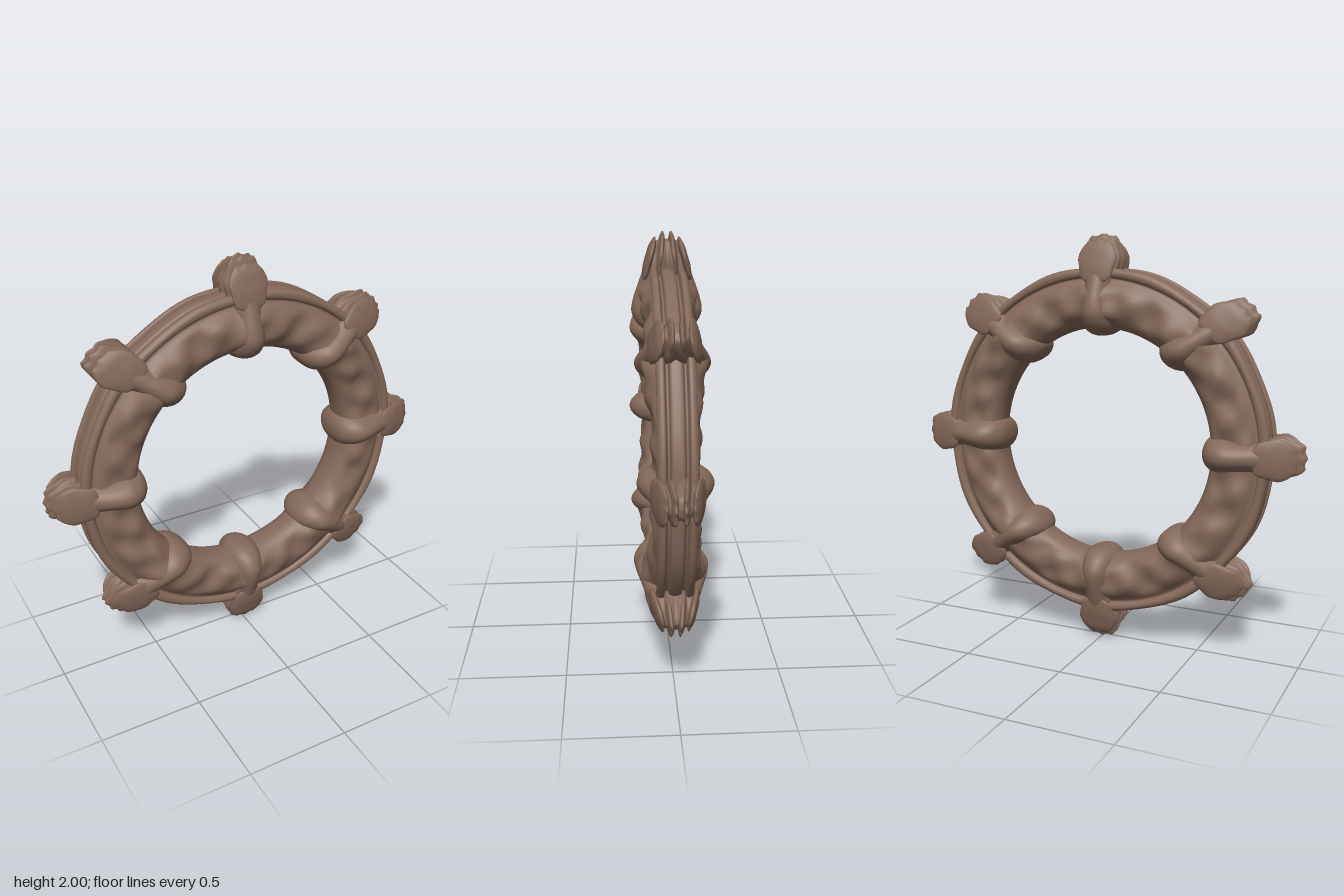
import * as THREE from 'three';

// Grid surface closed around v, optionally closed along u
function surface(nu, nv, closedU, point) {
  const pos = [], idx = [];
  for (let i = 0; i < nu; i++)
    for (let j = 0; j < nv; j++) {
      const u = closedU ? i / nu : i / (nu - 1);
      pos.push(...point(u, j / nv));
    }
  const rows = closedU ? nu : nu - 1;
  for (let i = 0; i < rows; i++)
    for (let j = 0; j < nv; j++) {
      const i2 = (i + 1) % nu, j2 = (j + 1) % nv;
      const a = i * nv + j, b = i * nv + j2, c = i2 * nv + j, d = i2 * nv + j2;
      idx.push(a, b, c, c, b, d);
    }
  const g = new THREE.BufferGeometry();
  g.setAttribute('position', new THREE.Float32BufferAttribute(pos, 3));
  g.setIndex(idx);
  g.computeVertexNormals();
  return g;
}

// Radial loft: each section is [radius, half width, half depth]
function loft(sections, nu, nv, shape) {
  const curve = new THREE.CatmullRomCurve3(sections.map(s => new THREE.Vector3(...s)), false, 'centripetal');
  return surface(nu, nv, false, (u, v) => {
    const s = curve.getPoint(u), a = v * Math.PI * 2;
    const w = Math.max(s.y, 0.001), d = Math.max(s.z, 0.001);
    return shape(s.x, w * Math.cos(a), d * Math.sin(a));
  });
}

const gauss = (x, s) => Math.exp(-(x * x) / (2 * s * s));
const smooth = (a, b, x) => THREE.MathUtils.smoothstep(x, a, b);

// Band with rounded inner side, lipped edges and a grooved outer rim
function ringGeometry() {
  const half = [[0.563, 0.04], [0.585, 0.078], [0.63, 0.098], [0.70, 0.1], [0.76, 0.088], [0.787, 0.07],
    [0.797, 0.068], [0.805, 0.08], [0.825, 0.084], [0.842, 0.07], [0.842, 0.052], [0.812, 0.043],
    [0.812, 0.034], [0.836, 0.026]];
  const loop = [[0.559, 0], ...half, [0.84, 0], ...half.map(([r, z]) => [r, -z]).reverse()];
  const curve = new THREE.CatmullRomCurve3(loop.map(([r, z]) => new THREE.Vector3(r, z, 0)), true, 'centripetal');
  const n = 90, pts = Array.from({ length: n }, (_, j) => curve.getPoint(j / n));
  return surface(240, n, true, (u, v) => {
    const a = u * Math.PI * 2, p = pts[Math.round(v * n)];
    let r = p.x, z = p.y;
    // swelling beside the clamps, and soft dents on the faces
    const step = Math.PI / 4, near = a - Math.round(a / step) * step;
    const k = Math.round(a / step) % 4;
    const face = smooth(0.57, 0.64, r) * (1 - smooth(0.72, 0.785, r)) * smooth(0.03, 0.07, Math.abs(z));
    const swell = k === 0 ? 0 : 0.036 * gauss(near, 0.17);
    const dents = 0.008 * Math.sin(a * 24 + r * 20) + 0.006 * Math.sin(a * 17 - r * 34 + 1 + Math.sign(z));
    z += Math.sign(z) * face * (swell + dents);
    r += 0.004 * Math.sin(a * 11) * smooth(0.8, 0.84, r);
    return [r * Math.cos(a), r * Math.sin(a), z];
  });
}

// Clamp body: fat around the inner edge, tapering outward, with ridged flanks
function clampGeometry(lean) {
  const sections = [[0.522, 0.001, 0.001], [0.526, 0.035, 0.06], [0.542, 0.067, 0.1], [0.575, 0.088, 0.14],
    [0.63, 0.093, 0.166], [0.69, 0.084, 0.158], [0.75, 0.078, 0.138], [0.81, 0.086, 0.116],
    [0.87, 0.092, 0.092], [0.92, 0.076, 0.07], [0.955, 0.05, 0.05], [0.965, 0.001, 0.001]];
  return loft(sections, 45, 56, (r, y, z) => {
    const ridge = smooth(0.74, 0.86, r) * 0.22 * (0.5 + 0.5 * Math.cos(z * 125));
    return [r, y * (1 - ridge) + lean * (0.8 - r), z];
  });
}

// Thin leaf-shaped fin leaning toward the middle at its tip
function finGeometry(z0, tip, lean) {
  const sections = [[0.77, 0.001, 0.001], [0.79, 0.07, 0.014], [0.85, 0.09, 0.022], [0.89, 0.098, 0.02],
    [0.93, 0.083, 0.018], [tip - 0.025, 0.068, 0.013], [tip - 0.006, 0.047, 0.006], [tip, 0.001, 0.001]];
  return loft(sections, 22, 20, (r, y, z) => {
    const notch = 0.006 * smooth(0.93, 1, r) * (Math.cos(y * 110) - 1);
    return [r + notch, y + lean * (0.8 - r), z + z0 * (1 - 3 * (r - 0.86))];
  });
}

export function createModel() {
  const model = new THREE.Group();
  model.name = 'clampedRing';
  const brown = new THREE.MeshStandardMaterial({ color: 0x84695a });
  brown.name = 'weathered brown';

  const wheel = new THREE.Group();
  wheel.name = 'wheel';
  wheel.position.y = 1;
  model.add(wheel);

  const add = (parent, name, geometry) => {
    const mesh = new THREE.Mesh(geometry, brown);
    mesh.name = name;
    parent.add(mesh);
  };
  add(wheel, 'ring', ringGeometry());

  // Eight clamps; the diagonal ones lean slightly toward the vertical
  for (let i = 0; i < 8; i++) {
    const lean = i % 2 === 0 ? 0 : (i % 4 === 1 ? 0.2 : -0.2);
    const clamp = new THREE.Group();
    clamp.name = 'clamp' + (i + 1);
    clamp.rotation.z = i * Math.PI / 4;
    add(clamp, 'clampBody', clampGeometry(lean));
    [[-0.085, 0.975], [-0.033, 1], [0.033, 1], [0.085, 0.975]].forEach(([z, tip]) =>
      add(clamp, 'fin', finGeometry(z, tip, lean)));
    wheel.add(clamp);
  }
  return model;
}
